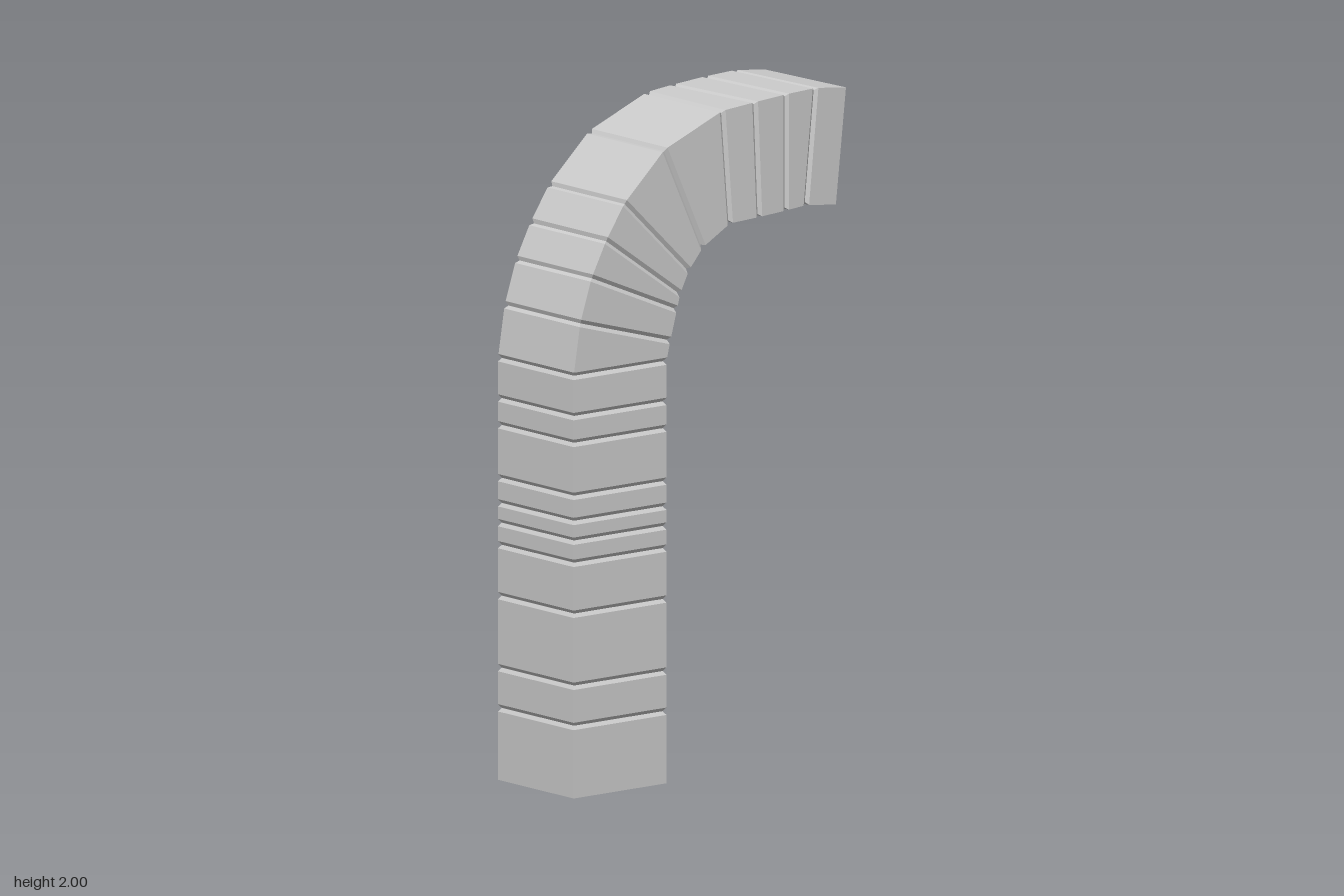
import * as THREE from 'three';

const HALF = 0.175;      // half width in x
const GROOVE_W = 0.011;  // half width of a joint groove
const GROOVE_D = 0.008;  // depth of a joint groove

// Joints of the upright column: heights only
const columnHeights = [0, 0.215, 0.335, 0.55, 0.702, 0.768, 0.827, 0.902, 1.06, 1.14, 1.26];

// Joints of the bent top: outer z, outer y, inner z, inner y, centre x, yaw skew in z
const bendJoints = [
  [0.495, 1.415, 0.155, 1.32],
  [0.452, 1.545, 0.13, 1.41],
  [0.397, 1.65, 0.118, 1.455],
  [0.327, 1.753, 0.085, 1.52],
  [0.176, 1.893, 0.032, 1.582],
  [-0.042, 1.98, -0.07, 1.64, 0.007, 0],
  [-0.152, 1.99, -0.168, 1.645, 0.008, 0.012],
  [-0.275, 1.997, -0.275, 1.65, 0.003, 0.01],
  [-0.39, 2.0, -0.355, 1.655, -0.002, 0.01],
  [-0.51, 1.985, -0.472, 1.64, -0.009, 0.01],
];

// Four corners of a joint, going round the column
function ring([zo, yo, zi, yi, xc = 0.007, skew = 0]) {
  const corner = (s, y, z) => new THREE.Vector3(xc + s * HALF, y, z - s * skew);
  return [corner(-1, yo, zo), corner(1, yo, zo), corner(1, yi, zi), corner(-1, yi, zi)];
}

// Shrink a joint towards its centre to form the groove floor
function inset(r) {
  const c = r.reduce((sum, p) => sum.add(p), new THREE.Vector3()).multiplyScalar(0.25);
  return r.map((p) => p.clone().lerp(c, GROOVE_D / HALF));
}

// Move each corner a little way towards the next joint
function shift(from, to) {
  return from.map((p, i) => {
    const length = p.distanceTo(to[i]);
    return p.clone().lerp(to[i], Math.min(0.3, GROOVE_W / length));
  });
}

// Flat-sided skin through a list of rings, with optional end caps
function skin(rings, capStart, capEnd) {
  const pos = [];
  const quad = (a, b, c, d) => {
    for (const p of [a, b, c, a, c, d]) pos.push(p.x, p.y, p.z);
  };
  for (let k = 0; k < rings.length - 1; k++) {
    const r = rings[k], n = rings[k + 1];
    for (let i = 0; i < 4; i++) {
      const j = (i + 1) % 4;
      quad(r[i], r[j], n[j], n[i]);
    }
  }
  if (capStart) quad(...[...rings[0]].reverse());
  if (capEnd) quad(...rings[rings.length - 1]);
  const geometry = new THREE.BufferGeometry();
  geometry.setAttribute('position', new THREE.Float32BufferAttribute(pos, 3));
  geometry.computeVertexNormals();
  return geometry;
}

export function createModel() {
  const model = new THREE.Group();
  model.name = 'bentColumn';
  const material = new THREE.MeshStandardMaterial({ color: 0xcccccc, flatShading: true });

  const joints = [...columnHeights.map((y) => [0.52, y, 0.17, y]), ...bendJoints].map(ring);
  const last = joints.length - 1;

  // One block between each pair of joints, bevelled where blocks meet
  for (let k = 0; k < last; k++) {
    const a = joints[k], b = joints[k + 1];
    const rings = [];
    if (k === 0) rings.push(a);
    else rings.push(inset(a), shift(a, b));
    if (k === last - 1) rings.push(b);
    else rings.push(shift(b, a), inset(b));

    const block = new THREE.Mesh(skin(rings, k === 0, k === last - 1), material);
    block.name = k < columnHeights.length - 1 ? `columnBlock${k + 1}` : `bendBlock${k + 2 - columnHeights.length}`;
    model.add(block);
  }
  return model;
}
